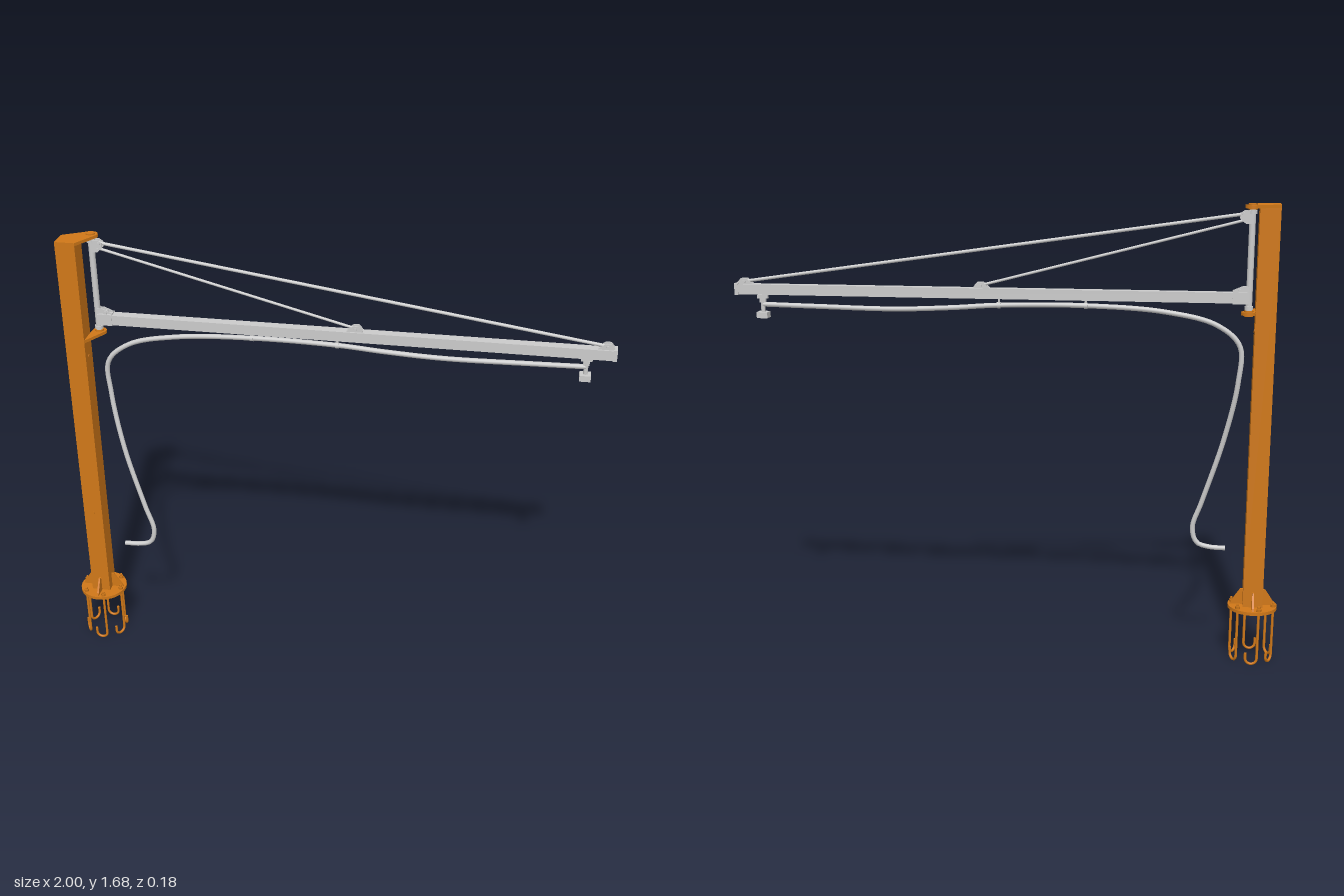
import * as THREE from 'three';

const ORANGE = new THREE.MeshStandardMaterial({ color: 0xd07818 });
const GREY = new THREE.MeshStandardMaterial({ color: 0xcccccc });
const POST_X = -0.909, PIVOT_X = -0.847, BOOM_Z = -0.063;
const V = (x, y, z) => new THREE.Vector3(x, y, z);

export function createModel() {
  const model = new THREE.Group();

  const add = (name, geometry, material, x = 0, y = 0, z = 0, parent = model) => {
    const mesh = new THREE.Mesh(geometry, material);
    mesh.name = name;
    mesh.position.set(x, y, z);
    parent.add(mesh);
    return mesh;
  };
  const box = (name, mat, w, h, d, x, y, z, parent) =>
    add(name, new THREE.BoxGeometry(w, h, d), mat, x, y, z, parent);
  const cyl = (name, mat, r, h, x, y, z, sides = 20, parent) =>
    add(name, new THREE.CylinderGeometry(r, r, h, sides), mat, x, y, z, parent);
  const rod = (name, mat, a, b, r) => {
    const dir = b.clone().sub(a);
    const mid = a.clone().add(b).multiplyScalar(0.5);
    const mesh = cyl(name, mat, r, dir.length(), mid.x, mid.y, mid.z, 14);
    mesh.quaternion.setFromUnitVectors(V(0, 1, 0), dir.normalize());
    return mesh;
  };
  // Upright plate in the xy plane, centred on z
  const sidePlate = (name, mat, points, thick, z, parent) => {
    const shape = new THREE.Shape(points.map(p => new THREE.Vector2(...p)));
    const geo = new THREE.ExtrudeGeometry(shape, { depth: thick, bevelEnabled: false });
    geo.translate(0, 0, -thick / 2);
    return add(name, geo, mat, 0, 0, z, parent);
  };

  // Square post with two small cable openings
  box('post', ORANGE, 0.072, 1.47, 0.07, POST_X, 0.94, 0);
  cyl('frontPortPlug', ORANGE, 0.007, 0.004, POST_X, 0.575, 0.035).rotation.x = Math.PI / 2;
  cyl('sidePortPlug', ORANGE, 0.007, 0.004, -0.873, 1.235, 0).rotation.z = Math.PI / 2;

  // Round base plate, gussets and ring of hooked anchors
  const base = new THREE.Group();
  base.name = 'base';
  base.position.x = POST_X;
  model.add(base);
  cyl('basePlate', ORANGE, 0.09, 0.012, 0, 0.205, 0, 40, base);
  for (let i = 0; i < 4; i++) {
    const gusset = sidePlate('gusset', ORANGE,
      [[0.034, 0.21], [0.082, 0.21], [0.078, 0.222], [0.046, 0.27], [0.034, 0.27]], 0.007, 0, base);
    gusset.rotation.y = i * Math.PI / 2;
  }
  const hook = new THREE.CurvePath();
  hook.add(new THREE.LineCurve3(V(0, 0.228, -0.021), V(0, 0.026, -0.021)));
  const bend = [];
  for (let i = 0; i <= 8; i++) {
    const a = Math.PI * i / 8;
    bend.push(V(0, 0.026 - 0.021 * Math.sin(a), -0.021 * Math.cos(a)));
  }
  hook.add(new THREE.CatmullRomCurve3(bend));
  hook.add(new THREE.LineCurve3(V(0, 0.026, 0.021), V(0, 0.046, 0.021)));
  const hookGeo = new THREE.TubeGeometry(hook, 60, 0.005, 8);
  for (let i = 0; i < 6; i++) {
    const anchor = new THREE.Group();
    anchor.name = 'anchor';
    anchor.rotation.y = Math.PI / 6 + i * Math.PI / 3;
    base.add(anchor);
    add('anchorHook', hookGeo, ORANGE, 0.075, 0, 0, anchor);
    cyl('anchorNut', ORANGE, 0.009, 0.01, 0.075, 0.216, -0.021, 6, anchor);
    cyl('anchorEnd', ORANGE, 0.005, 0.002, 0.075, 0.228, -0.021, 8, anchor);
    cyl('hookEnd', ORANGE, 0.005, 0.002, 0.075, 0.046, 0.021, 8, anchor);
  }

  // Horizontal pivot plates: the upper one also caps the post
  const pivotPlate = (name, backX, endAngle, y) => {
    const s = new THREE.Shape();
    s.moveTo(backX, -0.035);
    s.lineTo(-0.873, -0.035);
    s.absarc(PIVOT_X, -BOOM_Z, 0.026, -0.3, endAngle, false);
    s.lineTo(backX, 0.035);
    s.closePath();
    const geo = new THREE.ExtrudeGeometry(s, { depth: 0.011, bevelEnabled: false, curveSegments: 16 });
    geo.rotateX(-Math.PI / 2);
    add(name, geo, ORANGE, 0, y, 0);
    cyl(name + 'Boss', ORANGE, 0.016, 0.02, PIVOT_X, y + 0.0055, BOOM_Z);
  };
  pivotPlate('capPlate', -0.945, 1.95, 1.668);
  pivotPlate('lowerPivotPlate', -0.873, 2.6, 1.3);

  // Swivelling mast between the plates
  cyl('mast', GREY, 0.011, 0.35, PIVOT_X, 1.49, BOOM_Z);
  for (const y of [1.325, 1.655]) cyl('mastCollar', GREY, 0.015, 0.012, PIVOT_X, y, BOOM_Z);

  // Boom: hollow rail with a slot along its underside
  const w = 0.0185, h = 0.037, t = 0.004, slot = 0.007;
  const section = new THREE.Shape([
    [-w, 0], [-slot, 0], [-slot, t], [-w + t, t], [-w + t, h - t], [w - t, h - t],
    [w - t, t], [slot, t], [slot, 0], [w, 0], [w, h], [-w, h],
  ].map(p => new THREE.Vector2(...p)));
  const railGeo = new THREE.ExtrudeGeometry(section, { depth: 1.835, bevelEnabled: false });
  railGeo.rotateY(Math.PI / 2);
  add('boomRail', railGeo, GREY, -0.845, 1.342, BOOM_Z);
  box('boomEndStop', GREY, 0.014, 0.042, 0.04, 0.993, 1.361, BOOM_Z);
  box('boomRootSleeve', GREY, 0.05, 0.042, 0.042, -0.815, 1.361, BOOM_Z);

  // Paired lugs with cross pins for the tie rods
  const lug = (name, points, px, py) => {
    for (const side of [-1, 1]) sidePlate(name, GREY, points, 0.004, BOOM_Z + side * 0.01);
    cyl(name + 'Pin', GREY, 0.006, 0.036, px, py, BOOM_Z, 12).rotation.x = Math.PI / 2;
  };
  const boomLug = x => lug('boomLug', [[x - 0.035, 1.377], [x + 0.025, 1.377],
    [x + 0.025, 1.385], [x + 0.012, 1.4], [x - 0.008, 1.4]], x, 1.388);
  boomLug(0.095);
  boomLug(0.965);
  lug('rootGusset', [[-0.845, 1.377], [-0.79, 1.377], [-0.79, 1.385], [-0.825, 1.4], [-0.845, 1.4]], -0.815, 1.386);
  lug('mastLug', [[-0.848, 1.615], [-0.825, 1.615], [-0.805, 1.632], [-0.805, 1.65], [-0.82, 1.66], [-0.848, 1.66]], -0.818, 1.647);
  cyl('lowerTiePin', GREY, 0.005, 0.03, -0.822, 1.627, BOOM_Z, 12).rotation.x = Math.PI / 2;

  rod('upperTieRod', GREY, V(-0.82, 1.648, BOOM_Z), V(0.965, 1.388, BOOM_Z), 0.006);
  rod('lowerTieRod', GREY, V(-0.822, 1.627, BOOM_Z), V(0.095, 1.388, BOOM_Z), 0.005);

  // End trolley with hanging coupling block
  box('trolleyBody', GREY, 0.045, 0.022, 0.022, 0.9, 1.357, BOOM_Z);
  box('trolleyHanger', GREY, 0.04, 0.012, 0.012, 0.9, 1.333, BOOM_Z);
  box('trolleyYoke', GREY, 0.022, 0.016, 0.014, 0.9, 1.32, BOOM_Z);
  cyl('couplingStem', GREY, 0.008, 0.05, 0.9, 1.298, BOOM_Z);
  box('couplingBlock', GREY, 0.04, 0.022, 0.04, 0.9, 1.267, BOOM_Z);

  // Hose slung under the boom and down beside the post
  const z = BOOM_Z;
  const path = new THREE.CatmullRomCurve3([
    V(0.9, 1.305, z), V(0.7, 1.301, z), V(0.41, 1.297, z), V(0.2, 1.306, z), V(0.03, 1.318, z),
    V(-0.28, 1.322, z), V(-0.56, 1.305, z), V(-0.74, 1.262, z), V(-0.822, 1.19, -0.06),
    V(-0.822, 1.06, -0.056), V(-0.78, 0.84, -0.028), V(-0.71, 0.6, -0.006), V(-0.68, 0.5, 0),
    V(-0.697, 0.443, 0), V(-0.745, 0.427, 0), V(-0.8, 0.425, 0),
  ]);
  add('hose', new THREE.TubeGeometry(path, 160, 0.009, 12), GREY);
  cyl('hoseEnd', GREY, 0.009, 0.003, -0.8, 0.425, 0, 12).rotation.z = Math.PI / 2;

  // Gliders carrying the hose
  for (const [x, y] of [[0.03, 1.318], [-0.28, 1.322]]) {
    cyl('hoseHanger', GREY, 0.004, 0.03, x, y + 0.02, z, 10);
    cyl('hoseClip', GREY, 0.011, 0.012, x, y, z, 14).rotation.z = Math.PI / 2;
  }

  return model;
}
